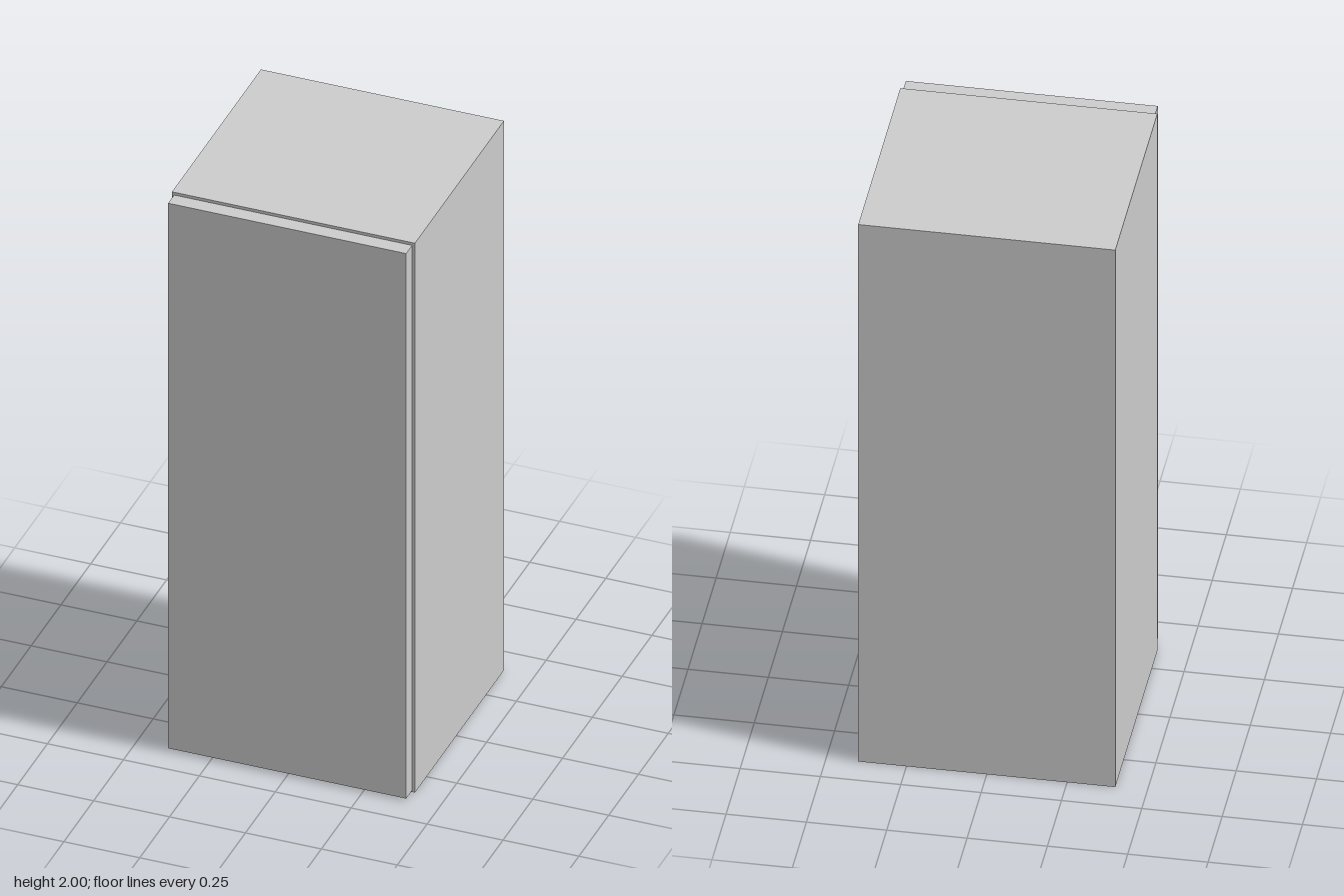
import * as THREE from 'three';

const W = 0.8, H = 2, T = 0.047;        // outer width, height, board thickness
const BACK = -0.4, FRONT = 0.347;       // depth range of the carcass
const GAP = 0.008;                      // reveal around the door

export function createModel() {
  const cabinet = new THREE.Group();
  cabinet.name = 'cabinet';
  const material = new THREE.MeshStandardMaterial({ color: 0xcccccc });

  // A board given by its lower and upper corners
  function board(name, [x0, y0, z0], [x1, y1, z1]) {
    const mesh = new THREE.Mesh(new THREE.BoxGeometry(x1 - x0, y1 - y0, z1 - z0), material);
    mesh.position.set((x0 + x1) / 2, (y0 + y1) / 2, (z0 + z1) / 2);
    mesh.name = name;
    cabinet.add(mesh);
  }

  const outer = W / 2, inner = outer - T;

  // Full-height side panels
  board('leftSide', [inner, 0, BACK], [outer, H, FRONT]);
  board('rightSide', [-outer, 0, BACK], [-inner, H, FRONT]);

  // Top and bottom fitted between the sides
  board('bottomPanel', [-inner, 0, BACK], [inner, T, FRONT]);
  board('topPanel', [-inner, H - T, BACK], [inner, H, FRONT]);

  // Back panel flush with the rear edges
  board('backPanel', [-inner, T, BACK], [inner, H - T, BACK + T]);

  // Overlay door, slightly smaller than the carcass and just clear of it
  board('door', [-outer + GAP, GAP, FRONT + 0.003], [outer - GAP, H - GAP, 0.4]);

  return cabinet;
}
